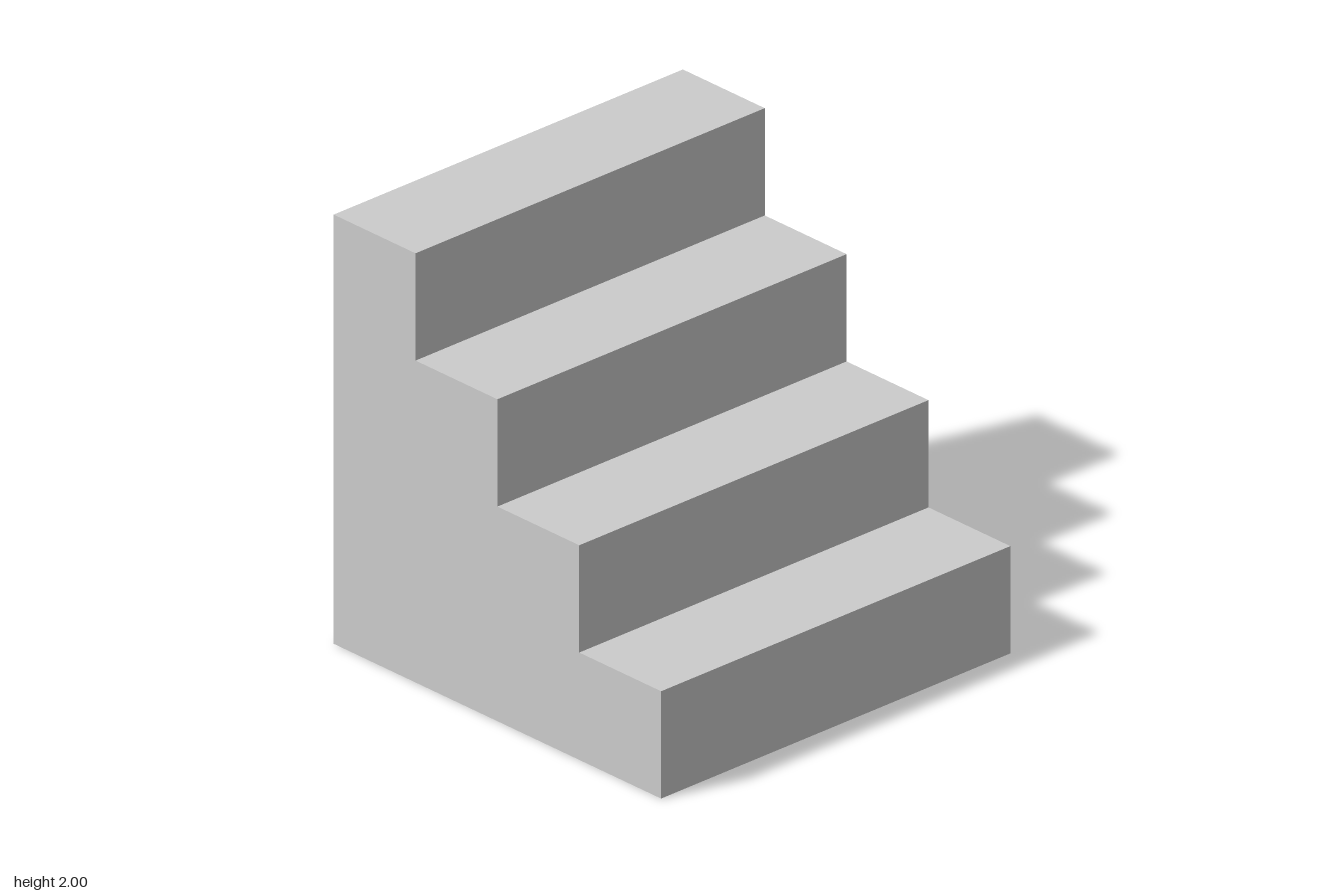
import * as THREE from 'three';

const STEPS = 4;
const WIDTH = 2;
const RISE = 0.5;
const RUN = 0.5;

export function createModel() {
  const group = new THREE.Group();
  group.name = 'staircase';

  // Side profile: flat base, then one riser and one tread per step
  const profile = new THREE.Shape();
  profile.moveTo(-1, 0);
  profile.lineTo(1, 0);
  for (let i = 0; i < STEPS; i++) {
    const front = 1 - i * RUN;
    const top = (i + 1) * RISE;
    profile.lineTo(front, top);
    profile.lineTo(front - RUN, top);
  }
  profile.closePath();

  // Solid flight of steps, extruded across the width and turned to face +z
  const geometry = new THREE.ExtrudeGeometry(profile, { depth: WIDTH, bevelEnabled: false });
  geometry.translate(0, 0, -WIDTH / 2);
  geometry.rotateY(-Math.PI / 2);

  const material = new THREE.MeshStandardMaterial({ color: 0xcccccc, flatShading: true });
  const steps = new THREE.Mesh(geometry, material);
  steps.name = 'steps';
  group.add(steps);

  return group;
}
